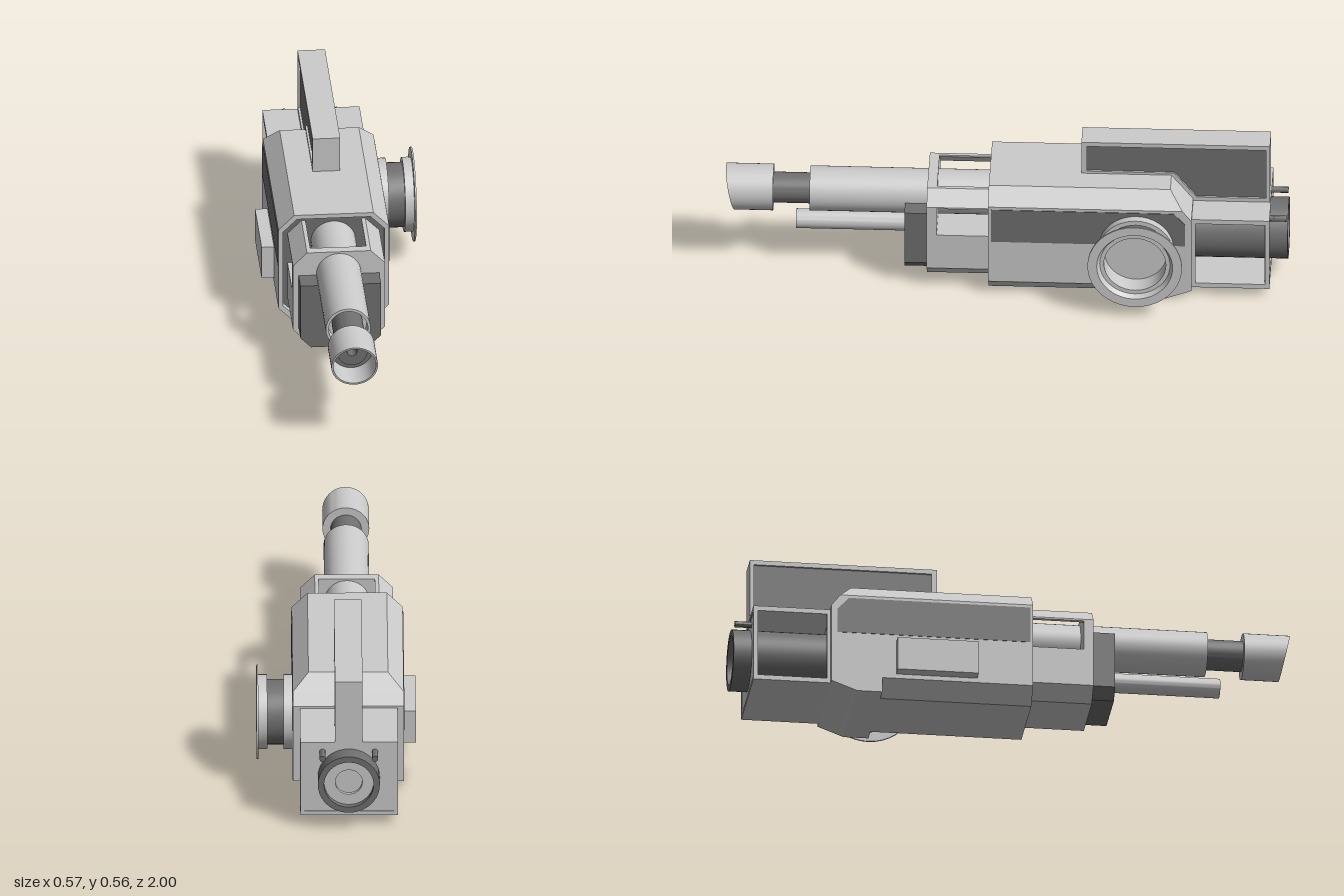
import * as THREE from 'three';
import { toCreasedNormals } from 'three/addons/utils/BufferGeometryUtils.js';

const make = (color) => new THREE.MeshStandardMaterial({ color, side: THREE.DoubleSide });
const CX = -0.044; // shared axis of the barrels

// Octagon from bounds, with top and bottom chamfers, counter-clockwise from the front
const oct = (x0, x1, y0, y1, ct, cb) => [
  [x0 + cb, y0], [x1 - cb, y0], [x1, y0 + cb], [x1, y1 - ct],
  [x1 - ct, y1], [x0 + ct, y1], [x0, y1 - ct], [x0, y0 + cb],
];
const toShape = (pts, hole) => {
  const s = new THREE.Shape(pts.map((p) => new THREE.Vector2(...p)));
  if (hole) s.holes.push(new THREE.Path(hole.map((p) => new THREE.Vector2(...p))));
  return s;
};
// Outline in (x, y), extruded from z0 to z1
const alongZ = (pts, z0, z1, hole) =>
  new THREE.ExtrudeGeometry(toShape(pts, hole), { depth: z1 - z0, bevelEnabled: false }).translate(0, 0, z0);
// Outline in (z, y), extruded from x0 to x1
const alongX = (pts, x0, x1, hole) =>
  new THREE.ExtrudeGeometry(toShape(pts, hole), { depth: x1 - x0, bevelEnabled: false })
    .rotateY(-Math.PI / 2).translate(x1, 0, 0);
const box = (x0, x1, y0, y1, z0, z1) =>
  new THREE.BoxGeometry(x1 - x0, y1 - y0, z1 - z0).translate((x0 + x1) / 2, (y0 + y1) / 2, (z0 + z1) / 2);
const rect = (a0, a1, b0, b1) => [[a0, b0], [a1, b0], [a1, b1], [a0, b1]];
// Turned part: [radius, position along axis]
const turn = (pts) => new THREE.LatheGeometry(pts.map((p) => new THREE.Vector2(...p)), 40);
const turnZ = (pts, x, y) => toCreasedNormals(turn(pts).rotateX(Math.PI / 2).translate(x, y, 0), 0.6);
const turnX = (pts, y, z) => toCreasedNormals(turn(pts).rotateZ(-Math.PI / 2).translate(0, y, z), 0.6);

// Flat-faced skin through sections { z, pts } running front to back
function loft(sections) {
  const pos = [];
  const tri = (...v) => v.forEach((p) => pos.push(...p));
  const rings = sections.map(({ z, pts }) => pts.map(([x, y]) => [x, y, z]));
  const n = rings[0].length;
  for (let s = 0; s < rings.length - 1; s++) {
    const f = rings[s], b = rings[s + 1];
    for (let i = 0; i < n; i++) {
      const j = (i + 1) % n;
      tri(f[i], b[i], b[j]);
      tri(f[i], b[j], f[j]);
    }
  }
  const f = rings[0], b = rings[rings.length - 1];
  for (let i = 1; i < n - 1; i++) {
    tri(f[0], f[i], f[i + 1]);
    tri(b[0], b[i + 1], b[i]);
  }
  const g = new THREE.BufferGeometry();
  g.setAttribute('position', new THREE.Float32BufferAttribute(pos, 3));
  g.computeVertexNormals();
  return g;
}

export function createModel() {
  const model = new THREE.Group();
  const light = make(0xcccccc), dark = make(0x707070), black = make(0x151515);
  const add = (name, geometry, material = light) => {
    const m = new THREE.Mesh(geometry, material);
    m.name = name;
    model.add(m);
  };

  // Main housing: chamfered, square-footed at the rear, sloped down to the rear box
  const L = -0.241, R = 0.153, C = 0.056;
  const section = (z, y0, y1, ct, cb) => ({ z, pts: oct(L, R, y0, y1, ct, cb) });
  add('housing', loft([
    section(0.03, 0, 0.427, C, C),
    section(-0.48, 0, 0.427, C, C),
    section(-0.48, 0, 0.427, C, 0),
    section(-0.57, 0, 0.427, C, 0),
    section(-0.585, 0.006, 0.427, C, 0),
    section(-0.63, 0.023, 0.371, 0, 0),
    section(-0.662, 0.035, 0.33, 0, 0),
  ]));
  add('housingRim', alongZ(oct(L, R, 0, 0.427, C, C), 0.03, 0.06, oct(L + 0.016, R - 0.016, 0.016, 0.411, 0.05, 0.05)));
  add('housingFrontPlate', alongZ(oct(L + 0.016, R - 0.016, 0.016, 0.411, 0.05, 0.05), 0.028, 0.034), dark);

  // Dark strips on both sides of the housing
  const strip = [[0.05, 0.225], [0.05, 0.36], [-0.6, 0.36], [-0.64, 0.315], [-0.64, 0.225]];
  add('leftStrip', alongX(strip, R - 0.01, R + 0.002), dark);
  add('rightStrip', alongX(strip, L - 0.002, L + 0.01), dark);
  add('sideBox', box(-0.285, L, 0.073, 0.197, -0.43, -0.14));

  // Front block: solid base, front plate and chamfered corner rails round open windows
  const fl = -0.207, fr = 0.12;
  add('frontBase', alongZ(oct(fl, fr, 0.035, 0.225, 0, 0.05).filter((p, i) => i !== 4 && i !== 5), 0.03, 0.25));
  add('frontPlate', alongZ(oct(fl, fr, 0.035, 0.392, 0.05, 0.05), 0.245, 0.28));
  for (const [edge, s, name] of [[fr, 1, 'leftRail'], [fl, -1, 'rightRail']]) {
    const rail = [[0, 0.342], [-0.05, 0.392], [-0.064, 0.392], [-0.064, 0.386], [-0.014, 0.336], [0, 0.336]];
    add(name, alongZ(rail.map(([x, y]) => [edge + s * x, y]), 0.03, 0.25));
  }
  add('barrelMount', alongZ(oct(-0.187, 0.1, 0.055, 0.302, 0, 0.038).filter((p, i) => i !== 4 && i !== 5), 0.28, 0.36), dark);

  // Main barrel, dark neck and slanted muzzle
  const by = 0.305;
  add('barrel', turnZ([[0.08, 0.03], [0.08, 0.7], [0.07, 0.7], [0.07, 0.65], [0, 0.65]], CX, by));
  add('neck', turnZ([[0.055, 0.6], [0.055, 0.87], [0.018, 0.87], [0.018, 0.78]], CX, by), dark);
  add('bore', turnZ([[0.018, 0.8], [0, 0.8]], CX, by), black);
  add('muzzleFloor', turnZ([[0.05, 0.85], [0.077, 0.85]], CX, by), dark);
  const muzzle = turn([[0.05, 0.83], [0.083, 0.83], [0.083, 1], [0.076, 1], [0.076, 0.85]])
    .rotateX(Math.PI / 2);
  const p = muzzle.attributes.position;
  for (let i = 0; i < p.count; i++) {
    if (p.getZ(i) > 0.9) p.setZ(i, 1 - 0.035 * (0.083 - p.getY(i)) / 0.166);
  }
  add('muzzle', toCreasedNormals(muzzle.translate(CX, by, 0), 0.6));

  // Lower tube
  add('lowerTube', turnZ([[0.035, 0.34], [0.035, 0.75], [0.03, 0.75], [0.03, 0.4]], CX, 0.175));
  add('lowerTubeBore', turnZ([[0.03, 0.42], [0, 0.42]], CX, 0.175), black);

  // Side drum with waist and thin flange
  const dy = 0.214, dz = -0.466;
  add('drumBase', turnX([[0.133, 0.14], [0.133, 0.185], [0.11, 0.185]], dy, dz));
  add('drumWaist', turnX([[0.116, 0.18], [0.116, 0.248]], dy, dz), dark);
  add('drumFlange', turnX([[0.116, 0.243], [0.133, 0.243], [0.133, 0.275], [0.168, 0.275], [0.168, 0.281],
    [0.135, 0.281], [0.125, 0.262], [0.11, 0.262], [0.11, 0.19], [0, 0.19]], dy, dz));

  // Top fin: light frame around a recessed dark core
  const fin = [[-0.265, 0.42], [-0.265, 0.558], [-0.935, 0.558], [-0.935, 0.315], [-0.66, 0.315], [-0.58, 0.42]];
  const finHole = [[-0.285, 0.436], [-0.285, 0.541], [-0.92, 0.541], [-0.92, 0.337], [-0.674, 0.337], [-0.595, 0.436]];
  add('finFrame', alongX(fin, -0.093, 0.005, finHole));
  add('finCore', alongX(finHole, -0.085, -0.003), dark);

  // Rear box with open side windows
  const x0 = -0.218, x1 = 0.128, y0 = 0.035, y1 = 0.322, z0 = -0.938, z1 = -0.655;
  const window = rect(-0.922, -0.675, 0.053, 0.304);
  const wall = rect(z0, z1, y0, y1);
  add('rearLeftWall', alongX(wall, x1 - 0.014, x1, window));
  add('rearRightWall', alongX(wall, x0, x0 + 0.014, window));
  add('rearTop', box(x0 + 0.014, x1 - 0.014, y1 - 0.016, y1, z0, z1));
  add('rearFloor', box(x0 + 0.014, x1 - 0.014, y0, y0 + 0.016, z0, z1));
  add('rearPlate', box(x0 + 0.014, x1 - 0.014, y0 + 0.016, y1 - 0.016, z0 + 0.003, z0 + 0.018));

  // Rear cylinder, its stepped end and two pins
  const ry = 0.184;
  add('rearCylinder', turnZ([[0.088, -0.975], [0.088, -1], [0.11, -1], [0.11, -0.65]], CX, ry), dark);
  add('rearCap', turnZ([[0, -0.965], [0.048, -0.965], [0.048, -0.978], [0.088, -0.978]], CX, ry));
  for (const s of [-1, 1]) {
    add('rearPin', turnZ([[0, -0.995], [0.011, -0.995], [0.011, -0.92]], CX + s * 0.093, 0.283), dark);
  }
  return model;
}
